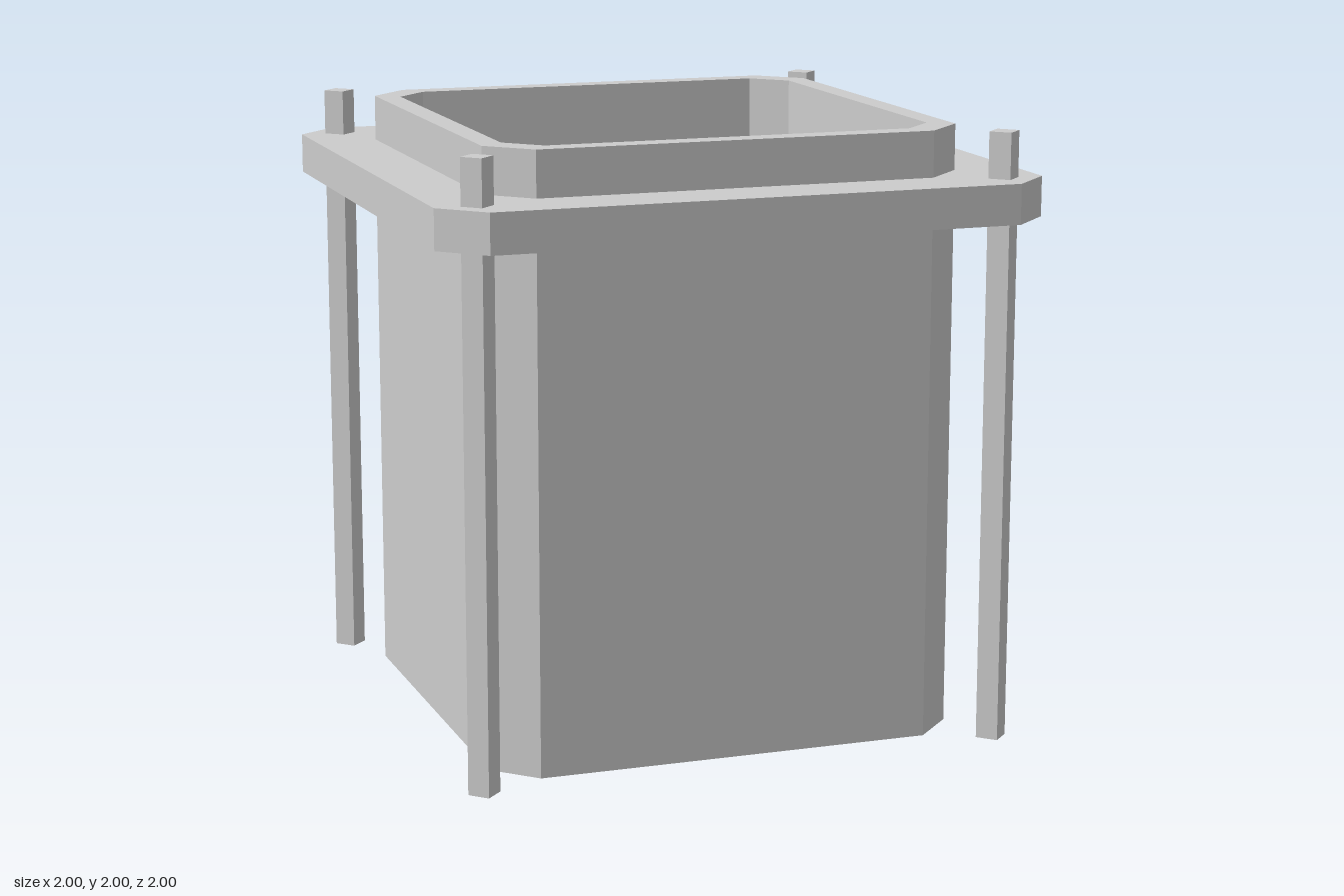
import * as THREE from 'three';

const material = new THREE.MeshStandardMaterial({ color: 0xcccccc, flatShading: true });

// Square outline of half-width h, with corners cut where the straight side ends at c
function cutSquare(h, c) {
  return [[h, -c], [h, c], [c, h], [-c, h], [-h, c], [-h, -c], [-c, -h], [c, -h]]
    .map(([x, y]) => new THREE.Vector2(x, y));
}

// Upright ring between two outlines, from y0 to y1
function ring(name, outer, inner, y0, y1) {
  const shape = new THREE.Shape(outer);
  shape.holes.push(new THREE.Path(inner));
  const geometry = new THREE.ExtrudeGeometry(shape, { depth: y1 - y0, bevelEnabled: false });
  geometry.rotateX(-Math.PI / 2).translate(0, y0, 0);
  const mesh = new THREE.Mesh(geometry, material);
  mesh.name = name;
  return mesh;
}

export function createModel() {
  const model = new THREE.Group();
  model.name = 'collaredDuct';

  // Open tube and the flat collar around it
  const tubeOutline = cutSquare(0.79, 0.657);
  model.add(ring('tube', tubeOutline, cutSquare(0.713, 0.605), 0, 2));
  model.add(ring('collar', cutSquare(1, 0.865), tubeOutline, 1.72, 1.85));

  // Four diamond-section rods through the collar corners
  const rodGeometry = new THREE.CylinderGeometry(0.052, 0.052, 2, 4);
  for (const [x, xName] of [[1, 'Left'], [-1, 'Right']]) {
    for (const [z, zName] of [[1, 'front'], [-1, 'back']]) {
      const rod = new THREE.Mesh(rodGeometry, material);
      rod.name = `${zName}${xName}Rod`;
      rod.position.set(x * 0.865, 1, z * 0.865);
      model.add(rod);
    }
  }
  return model;
}
